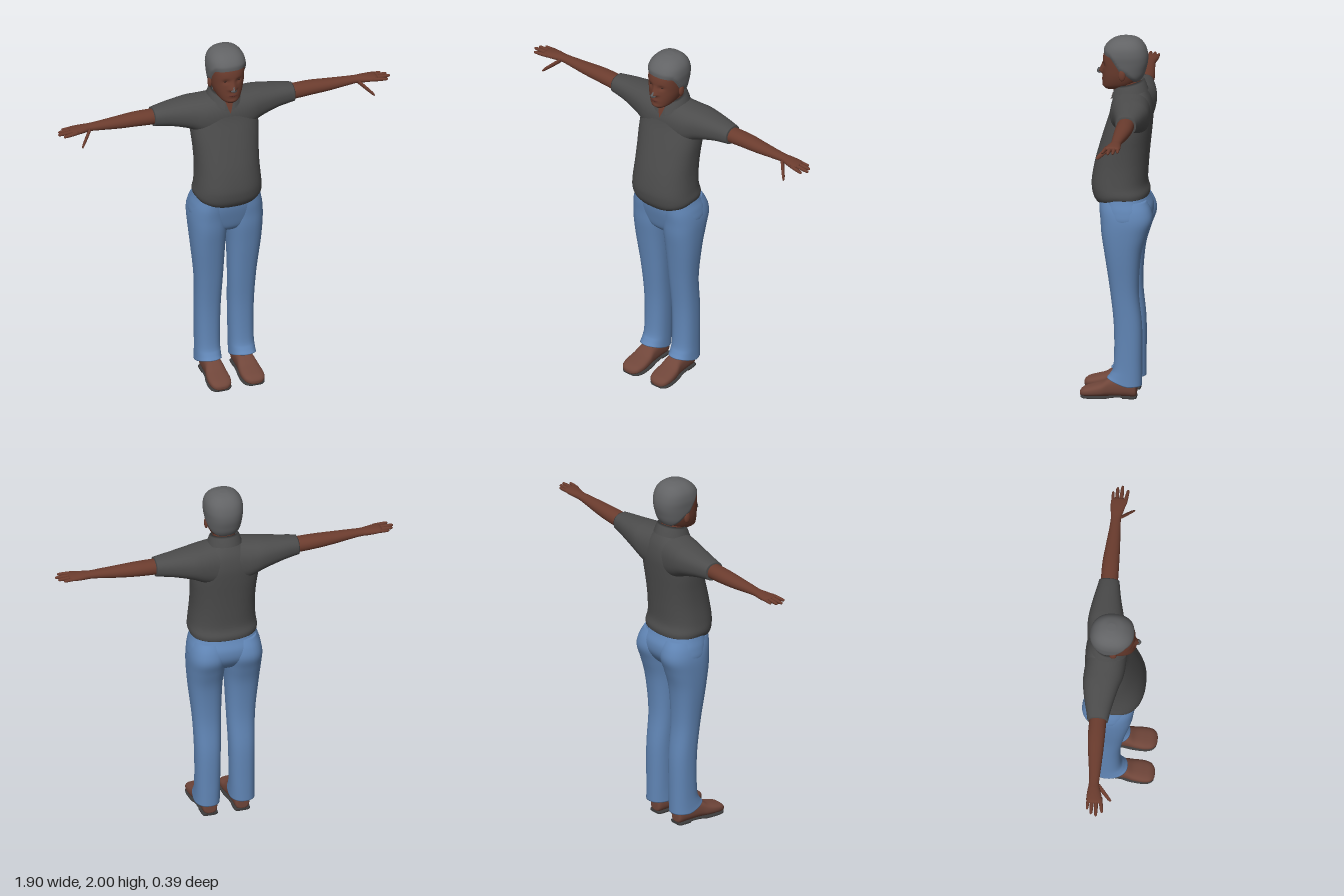
import * as THREE from 'three';

const mat = (name, color, side = THREE.FrontSide) => {
  const m = new THREE.MeshStandardMaterial({ color, side });
  m.name = name;
  return m;
};

// Smooth surface through rows of points; closed rows wrap round and get end caps.
function skinRows(rows, closed = true) {
  const n = rows[0].length, pos = rows.flat(2), idx = [], cols = closed ? n : n - 1;
  for (let i = 0; i < rows.length - 1; i++) {
    for (let j = 0; j < cols; j++) {
      const k = (j + 1) % n, a = i * n + j, b = i * n + k;
      idx.push(a, b, b + n, a, b + n, a + n);
    }
  }
  if (closed) {
    [0, rows.length - 1].forEach((r, end) => {
      const c = pos.length / 3;
      for (let q = 0; q < 3; q++) pos.push(rows[r].reduce((s, p) => s + p[q], 0) / n);
      for (let j = 0; j < n; j++) {
        const a = r * n + j, b = r * n + (j + 1) % n;
        idx.push(c, end ? a : b, end ? b : a);
      }
    });
  }
  const g = new THREE.BufferGeometry();
  g.setAttribute('position', new THREE.Float32BufferAttribute(pos, 3));
  g.setIndex(idx);
  g.computeVertexNormals();
  return g;
}

const spline = (a, b, c, d, t) => 0.5 * (2 * b + (c - a) * t
  + (2 * a - 5 * b + 4 * c - d) * t * t + (3 * b - a - 3 * c + d) * t * t * t);

// Rounded sections [t, a0, a1, b0, b1] along an axis; (a, b) are (z,x) for y, (y,z) for x, (x,y) for z.
function sweep(axis, table, { seg = 32, steps = 5, e = 0.85, rule } = {}) {
  const at = i => table[Math.min(Math.max(i, 0), table.length - 1)], rows = [];
  const pw = v => Math.sign(v) * Math.abs(v) ** e;
  for (let s = 0; s <= (table.length - 1) * steps; s++) {
    const i = Math.min(Math.floor(s / steps), table.length - 2), f = s / steps - i;
    const [t, a0, a1, b0, b1] = at(i).map((v, k) => spline(at(i - 1)[k], v, at(i + 1)[k], at(i + 2)[k], f));
    const row = [];
    for (let j = 0; j < seg; j++) {
      const w = (j / seg) * Math.PI * 2;
      const a = (a0 + a1) / 2 + (a1 - a0) / 2 * pw(Math.cos(w));
      const b = (b0 + b1) / 2 + (b1 - b0) / 2 * pw(Math.sin(w));
      const p = axis === 'y' ? [b, t, a] : axis === 'x' ? [t, a, b] : [a, b, t];
      if (rule) rule(p);
      row.push(p);
    }
    rows.push(row);
  }
  return skinRows(rows);
}

// Sections symmetric in x: [y, back, front, halfWidth]
const upright = (table, o) => sweep('y', table.map(([y, b, f, w]) => [y, b, f, -w, w]), o);

function mirrored(g) {
  const m = g.clone().scale(-1, 1, 1), ix = m.index.array;
  for (let i = 0; i < ix.length; i += 3) [ix[i], ix[i + 1]] = [ix[i + 1], ix[i]];
  m.computeVertexNormals();
  return m;
}

export function createModel() {
  const root = new THREE.Group();
  const skin = mat('skin', 0x6b3c2e, THREE.DoubleSide), hairGrey = mat('hair grey', 0x626365);
  const shirt = mat('shirt grey', 0x4c4c4c, THREE.DoubleSide), denim = mat('denim blue', 0x6186b6);
  const leather = mat('shoe brown', 0x70463a), soleDark = mat('sole dark', 0x3c3b3b);
  const eyeDark = mat('eye dark', 0x33201b), lipBrown = mat('lip brown', 0x5c2f28);
  const add = (name, g, m) => {
    const mesh = new THREE.Mesh(g, m);
    mesh.name = name;
    root.add(mesh);
    return mesh;
  };
  const pair = (name, g, m) => {
    add(name + 'Left', g, m);
    add(name + 'Right', mirrored(g), m);
  };
  const blob = (x, y, z, rx, ry, rz) => new THREE.SphereGeometry(1, 20, 14).scale(rx, ry, rz).translate(x, y, z);
  const bell = v => Math.exp(-v * v);
  const clamp = THREE.MathUtils.clamp;

  // Head with nose, eye sockets, lips and chin pushed out of the loft
  const head = upright([
    [1.708, -0.02, 0.068, 0.028], [1.725, -0.06, 0.082, 0.052], [1.75, -0.1, 0.084, 0.069],
    [1.79, -0.13, 0.084, 0.083], [1.83, -0.143, 0.083, 0.09], [1.87, -0.151, 0.084, 0.094],
    [1.91, -0.149, 0.077, 0.096], [1.95, -0.134, 0.057, 0.087], [1.979, -0.105, 0.02, 0.06],
    [1.992, -0.065, -0.025, 0.02],
  ], {
    seg: 72, steps: 7, rule: p => {
      const [x, y] = p;
      if (p[2] < 0.02) return;
      const ridge = y > 1.803 ? clamp((1.86 - y) / 0.057, 0, 1) : bell((y - 1.803) / 0.011);
      p[2] += 0.025 * ridge * bell(x / (0.011 + 0.007 * ridge));
      p[2] -= 0.009 * bell((Math.abs(x) - 0.035) / 0.018) * bell((y - 1.848) / 0.014);
      p[2] += 0.004 * bell(x / 0.022) * (bell((y - 1.763) / 0.011) + bell((y - 1.727) / 0.012));
    },
  });
  add('head', head, skin);

  // Hair: the head surface swelling outward above the hairline
  const line = [[-0.16, 1.742], [-0.1, 1.75], [-0.055, 1.8], [-0.015, 1.825], [0.01, 1.865], [0.035, 1.9], [0.1, 1.915]];
  const hairline = z => {
    const i = clamp(line.findIndex(q => q[0] > z), 1, line.length - 1);
    const [[z0, y0], [z1, y1]] = [line[i - 1], line[i]];
    return y0 + (y1 - y0) * clamp((z - z0) / (z1 - z0), 0, 1);
  };
  const hair = head.clone(), hp = hair.attributes.position, hn = head.attributes.normal;
  for (let i = 0; i < hp.count; i++) {
    const d = clamp((hp.getY(i) - hairline(hp.getZ(i))) * 0.4, -0.006, 0.009);
    hp.setXYZ(i, hp.getX(i) + hn.getX(i) * d, hp.getY(i) + hn.getY(i) * d, hp.getZ(i) + hn.getZ(i) * d);
  }
  hair.computeVertexNormals();
  add('hair', hair, hairGrey);

  // Face details, ears and neck
  pair('eye', blob(0.035, 1.848, 0.066, 0.013, 0.005, 0.006), eyeDark);
  pair('ear', blob(0.092, 1.805, -0.03, 0.011, 0.031, 0.019).rotateX(0), skin);
  add('lips', blob(0, 1.762, 0.084, 0.023, 0.006, 0.006), lipBrown);
  add('neck', upright([[1.62, -0.13, 0.02, 0.07], [1.68, -0.125, 0.01, 0.064], [1.73, -0.122, 0.012, 0.06],
    [1.79, -0.115, 0.02, 0.06]], { e: 1 }), skin);

  // Shirt body, its hem dipping at the front
  add('shirtBody', upright([
    [1.125, -0.168, 0.112, 0.182], [1.15, -0.17, 0.136, 0.188], [1.2, -0.158, 0.142, 0.182],
    [1.3, -0.163, 0.126, 0.176], [1.4, -0.172, 0.1, 0.179], [1.5, -0.182, 0.07, 0.187],
    [1.58, -0.186, 0.045, 0.183], [1.65, -0.175, 0.03, 0.14], [1.7, -0.15, 0.014, 0.085], [1.72, -0.13, 0, 0.06],
  ], {
    seg: 48, rule: p => {
      p[1] -= 0.036 * clamp(p[2] / 0.11, 0, 1) * clamp((1.17 - p[1]) / 0.045, 0, 1);
    },
  }), shirt);

  // Yoke and short sleeves in one sweep from cuff to cuff
  const half = [[0.08, 1.465, 1.706, -0.182, 0.036], [0.14, 1.49, 1.7, -0.186, 0.026], [0.2, 1.522, 1.695, -0.184, 0.008],
    [0.3, 1.552, 1.682, -0.166, -0.016], [0.36, 1.562, 1.674, -0.152, -0.027], [0.4, 1.568, 1.667, -0.144, -0.033]];
  add('shirtSleeves', sweep('x', [...half.map(([x, ...r]) => [-x, ...r]).reverse(), [0, 1.45, 1.712, -0.178, 0.04], ...half],
    { seg: 40 }), shirt);

  // Folded collar with an open front, and the throat showing in the opening
  const collar = [[1.69, 0.096, 0.099], [1.738, 0.08, 0.082], [1.748, 0.071, 0.073], [1.7, 0.066, 0.067]];
  add('collar', skinRows(collar.map(([y, rx, rz], r) => Array.from({ length: 49 }, (_, i) => {
    const a = 0.3 + (i / 48) * (Math.PI * 2 - 0.6), c = Math.cos(a);
    const tip = r === 0 ? 0.022 * Math.max(0, c) ** 6 : 0;
    return [rx * Math.sin(a), y - 0.02 * c - tip, -0.062 + rz * c + tip * 0.3];
  })), false), shirt);
  add('throat', skinRows([[[-0.002, 1.632, 0.046], [0.002, 1.632, 0.046]],
    [[-0.026, 1.705, 0.024], [0.026, 1.705, 0.024]]], false), skin);

  // Bare arm running into the palm
  pair('arm', sweep('x', [
    [0.34, 1.58, 1.66, -0.13, -0.045], [0.4, 1.577, 1.66, -0.134, -0.042], [0.5, 1.583, 1.66, -0.134, -0.043],
    [0.6, 1.59, 1.655, -0.124, -0.046], [0.7, 1.601, 1.65, -0.112, -0.051], [0.76, 1.607, 1.647, -0.108, -0.053],
    [0.8, 1.607, 1.647, -0.112, -0.043], [0.84, 1.61, 1.645, -0.115, -0.032], [0.865, 1.615, 1.642, -0.113, -0.03],
    [0.875, 1.624, 1.636, -0.1, -0.045],
  ], { e: 0.95 }), skin);

  // Fingers and thumb: tapered digits from knuckle to tip
  const digit = (from, to, r) => sweep('x', [[0, 1], [0.35, 1], [0.7, 0.88], [0.93, 0.68], [1, 0.15]].map(([f, k]) => {
    const [x, y, z] = from.map((v, i) => v + (to[i] - v) * f);
    return [x, y - r * k, y + r * k, z - r * k, z + r * k];
  }), { seg: 12, steps: 3, e: 1 });
  [[-0.103, -0.107, 0.912, 0.009], [-0.083, -0.084, 0.938, 0.0105], [-0.061, -0.058, 0.948, 0.011], [-0.04, -0.026, 0.926, 0.0105]]
    .forEach(([z0, z1, tip, r], i) => pair('finger' + (i + 1), digit([0.84, 1.628, z0], [tip, 1.625, z1], r), skin));
  pair('thumb', digit([0.765, 1.622, -0.06], [0.835, 1.563, 0.014], 0.014), skin);

  // Jeans: seat plus two legs
  add('jeansSeat', upright([[0.91, -0.09, 0.045, 0.07], [0.94, -0.14, 0.066, 0.15], [1, -0.182, 0.083, 0.2],
    [1.06, -0.188, 0.096, 0.197], [1.11, -0.168, 0.1, 0.182], [1.16, -0.148, 0.1, 0.168]], { seg: 40 }), denim);
  pair('jeansLeg', sweep('y', [
    [0.075, -0.14, 0.05, 0.028, 0.168], [0.12, -0.14, 0.032, 0.029, 0.165], [0.2, -0.14, 0.013, 0.029, 0.163],
    [0.4, -0.139, 0.012, 0.025, 0.165], [0.6, -0.121, 0.032, 0.018, 0.173], [0.8, -0.135, 0.06, 0.01, 0.194],
    [0.92, -0.168, 0.078, 0.001, 0.203], [1, -0.195, 0.084, -0.002, 0.204], [1.06, -0.186, 0.09, 0, 0.194],
    [1.11, -0.16, 0.092, 0.005, 0.175],
  ], { rule: p => { p[1] += 0.038 * clamp((p[2] + 0.06) / 0.1, 0, 1) * clamp((0.16 - p[1]) / 0.085, 0, 1); } }), denim);

  // Shoes with heeled soles
  pair('shoe', sweep('z', [
    [-0.11, 0.065, 0.115, 0.02, 0.07], [-0.1, 0.05, 0.13, 0.008, 0.1], [-0.05, 0.045, 0.136, 0.008, 0.12],
    [0.03, 0.04, 0.142, 0.008, 0.112], [0.08, 0.034, 0.152, 0.008, 0.082], [0.13, 0.032, 0.156, 0.008, 0.066],
    [0.17, 0.041, 0.15, 0.008, 0.054], [0.19, 0.062, 0.132, 0.01, 0.04], [0.196, 0.085, 0.11, 0.016, 0.03],
  ], { e: 0.75 }), leather);
  pair('sole', sweep('z', [
    [-0.11, 0.06, 0.12, 0, 0.014], [-0.1, 0.047, 0.133, 0, 0.014], [-0.04, 0.045, 0.136, 0, 0.014],
    [-0.034, 0.045, 0.136, 0.007, 0.016], [0.02, 0.04, 0.14, 0.006, 0.016], [0.06, 0.035, 0.149, 0, 0.012],
    [0.13, 0.031, 0.156, 0, 0.011], [0.17, 0.041, 0.15, 0, 0.011], [0.19, 0.062, 0.131, 0.002, 0.012],
  ], { e: 0.4, steps: 4 }), soleDark);

  return root;
}
